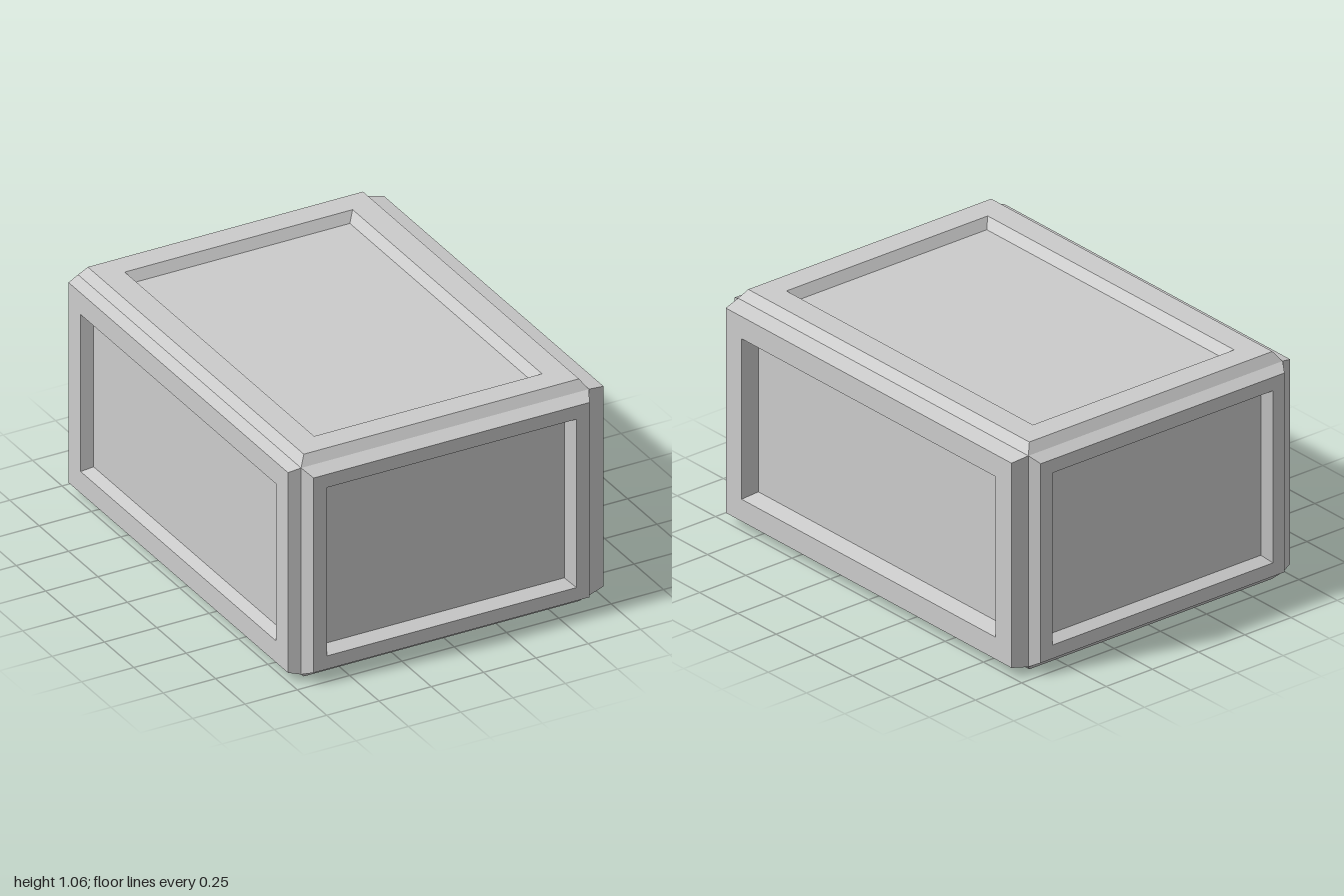
import * as THREE from 'three';

const material = new THREE.MeshStandardMaterial({ color: 0xcccccc, flatShading: true });

// Extents of the core block that the six raised panels grow from
const min = [-0.70, 0.032, -0.953];
const max = [0.675, 1.017, 0.943];

// One panel: bevel up to a flat frame, then sloped walls down to a recessed floor.
// axis 0/1/2 = x/y/z, outer = coordinate of the raised frame,
// margins = inset from the core edge of the frame, the recess rim and the floor.
function panel(name, axis, sign, outer, margins) {
  const u = (axis + 1) % 3, v = (axis + 2) % 3;
  const base = sign > 0 ? max[axis] : min[axis];
  const ring = (m, level) => {
    const corners = [
      [min[u] + m, min[v] + m], [max[u] - m, min[v] + m],
      [max[u] - m, max[v] - m], [min[u] + m, max[v] - m],
    ].map(([a, b]) => {
      const p = [0, 0, 0];
      p[axis] = level; p[u] = a; p[v] = b;
      return p;
    });
    return sign > 0 ? corners : corners.reverse();
  };
  const [frame, rim, floor] = margins;
  const rings = [ring(0, base), ring(frame, outer), ring(rim, outer), ring(floor, base)];

  const positions = [];
  const quad = (a, b, c, d) => positions.push(...a, ...b, ...c, ...a, ...c, ...d);
  for (let i = 0; i < 3; i++) {
    for (let k = 0; k < 4; k++) {
      const n = (k + 1) % 4;
      quad(rings[i][k], rings[i][n], rings[i + 1][n], rings[i + 1][k]);
    }
  }
  quad(...rings[3]);

  const geometry = new THREE.BufferGeometry();
  geometry.setAttribute('position', new THREE.Float32BufferAttribute(positions, 3));
  geometry.computeVertexNormals();
  const mesh = new THREE.Mesh(geometry, material);
  mesh.name = name;
  return mesh;
}

export function createModel() {
  const crate = new THREE.Group();
  crate.name = 'crate';
  const ends = [0.028, 0.091, 0.117];
  const sides = [0.015, 0.118, 0.133];
  const lids = [0.03, 0.143, 0.173];
  crate.add(
    panel('frontPanel', 2, 1, 1.0, ends),
    panel('backPanel', 2, -1, -1.0, ends),
    panel('leftPanel', 0, 1, 0.754, sides),
    panel('rightPanel', 0, -1, -0.754, sides),
    panel('topPanel', 1, 1, 1.06, lids),
    panel('bottomPanel', 1, -1, 0, lids),
  );
  return crate;
}
